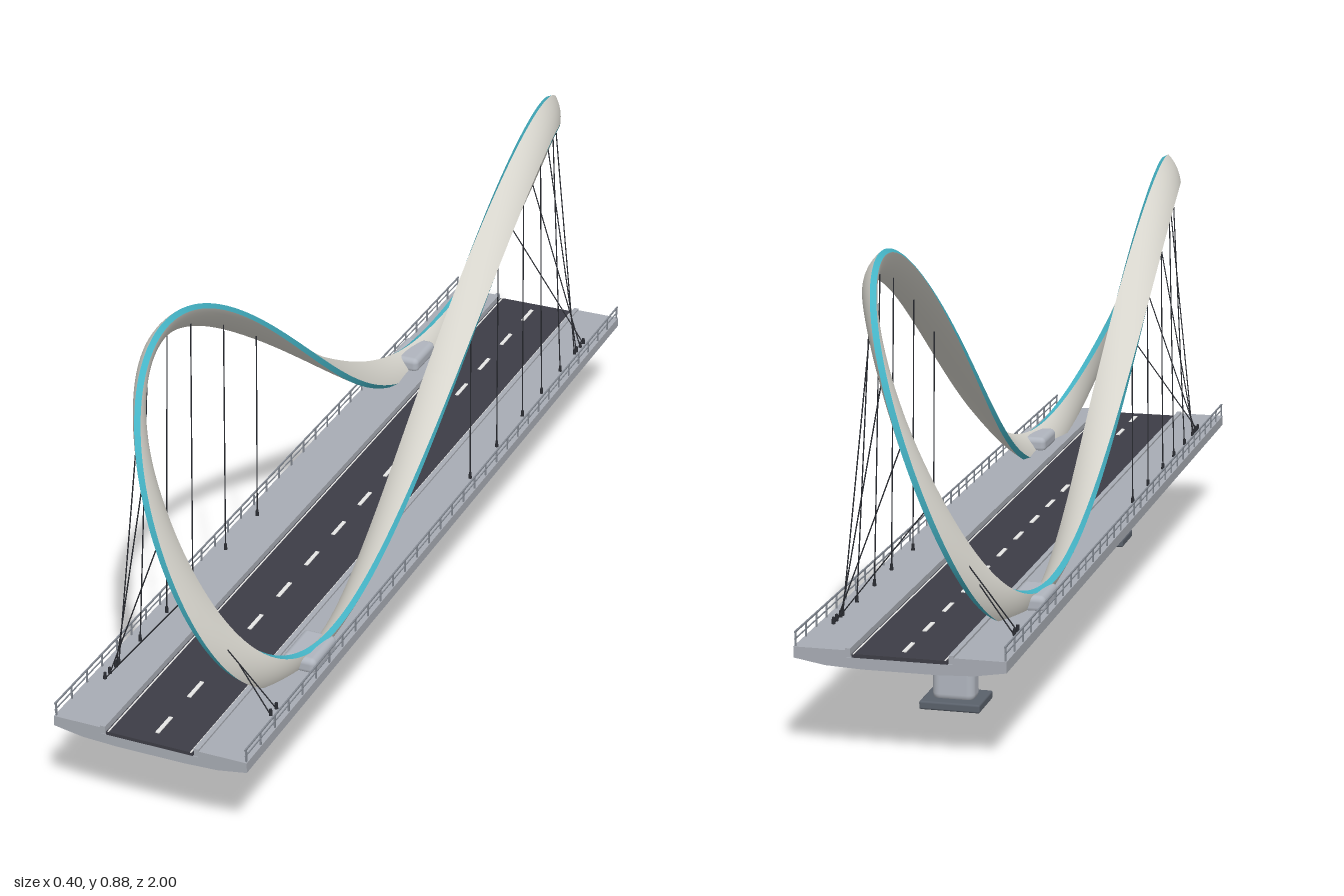
import * as THREE from 'three';
import { RoundedBoxGeometry } from 'three/addons/geometries/RoundedBoxGeometry.js';

const mat = (name, color, extra = {}) => {
  const m = new THREE.MeshStandardMaterial({ color, ...extra });
  m.name = name;
  return m;
};

// Centre line of the looping arch: stadium in plan, figure eight from the side
const archPoint = (t) => new THREE.Vector3(
  0.168 * Math.sin(Math.PI / 2 * Math.cos(t)),
  0.53 - 0.316 * Math.sin(2 * t),
  0.88 * Math.sin(t));

// Twisting frame: the wide axis points out of each lobe and turns inboard at mid-span
function archFrame(t) {
  const c = archPoint(t);
  const T = archPoint(t + 1e-3).sub(archPoint(t - 1e-3)).normalize();
  const dy = -0.632 * Math.cos(2 * t), dz = 0.88 * Math.cos(t), s = Math.sin(t);
  const l = Math.hypot(dy, dz);
  const N = new THREE.Vector3(-0.6 * Math.cos(t), -dz / l * s, dy / l * s);
  N.addScaledVector(T, -N.dot(T)).normalize();
  return { c, N, B: new THREE.Vector3().crossVectors(T, N) };
}

// Sweep an open piece of the cross-section around the closed arch
function sweepArch(section, steps = 320) {
  const pos = [], idx = [], n = section.length;
  for (let i = 0; i <= steps; i++) {
    const { c, N, B } = archFrame(i / steps * Math.PI * 2);
    for (const [u, v] of section) {
      const p = c.clone().addScaledVector(N, u).addScaledVector(B, v);
      pos.push(p.x, p.y, p.z);
      if (i < steps && v !== undefined) continue;
    }
  }
  for (let i = 0; i < steps; i++) for (let j = 0; j < n - 1; j++) {
    const a = i * n + j, b = a + n;
    idx.push(a, a + 1, b, a + 1, b + 1, b);
  }
  const g = new THREE.BufferGeometry();
  g.setAttribute('position', new THREE.Float32BufferAttribute(pos, 3));
  g.setIndex(idx);
  g.computeVertexNormals();
  return g;
}

export function createModel() {
  const M = {
    arch: mat('warm white steel', 0xd6d4cc),
    teal: mat('teal edge', 0x45b4c6),
    concrete: mat('concrete', 0xa8acb4),
    pier: mat('pier concrete', 0xb0b5be),
    road: mat('asphalt', 0x3d3d46),
    paint: mat('road paint', 0xf0f0ee),
    rail: mat('railing grey', 0x858b94),
    footing: mat('footing grey', 0x5a616b),
    cable: mat('cable dark', 0x2a2c32),
  };
  const root = new THREE.Group();
  root.name = 'bridge';
  const add = (name, geo, m, x = 0, y = 0, z = 0, parent = root) => {
    const mesh = new THREE.Mesh(geo, m);
    mesh.name = name;
    mesh.position.set(x, y, z);
    parent.add(mesh);
    return mesh;
  };
  const box = (name, m, w, h, d, x, y, z, parent) =>
    add(name, new THREE.BoxGeometry(w, h, d), m, x, y, z, parent);
  const group = (name) => {
    const g = new THREE.Group();
    g.name = name;
    root.add(g);
    return g;
  };
  const rod = (name, a, b, r, m, parent) => {
    const d = b.clone().sub(a);
    const mesh = add(name, new THREE.CylinderGeometry(r, r, d.length(), 6), m, 0, 0, 0, parent);
    mesh.position.copy(a).add(b).multiplyScalar(0.5);
    mesh.quaternion.setFromUnitVectors(new THREE.Vector3(0, 1, 0), d.normalize());
  };

  // Arch: two bulged faces and two teal edge strips
  const w = 0.033, e = 0.006, h = 0.012;
  const face = [];
  for (let k = 0; k <= 8; k++) {
    const u = Math.cos(k / 8 * Math.PI);
    face.push([w * u, e + (h - e) * (1 - u * u)]);
  }
  const edge = [[w, -e], [w, e]];
  const flip = (s) => s.map(([u, v]) => [-u, -v]);
  const arch = group('arch');
  add('archUpperFace', sweepArch(face), M.arch, 0, 0, 0, arch);
  add('archLowerFace', sweepArch(flip(face)), M.arch, 0, 0, 0, arch);
  add('archOuterEdge', sweepArch(edge), M.teal, 0, 0, 0, arch);
  add('archInnerEdge', sweepArch(flip(edge)), M.teal, 0, 0, 0, arch);

  // Deck: shallow hull with raised walkways either side of the road
  const half = [[0.1, 0.2], [0.1, 0.213], [0.2, 0.213], [0.2, 0.192], [0.14, 0.182], [0.07, 0.179]];
  const outline = [...half, ...half.map(([x, y]) => [-x, y]).reverse()];
  const deckGeo = new THREE.ExtrudeGeometry(
    new THREE.Shape(outline.map(([x, y]) => new THREE.Vector2(x, y))),
    { depth: 2, bevelEnabled: false });
  add('deck', deckGeo, M.concrete, 0, 0, -1);
  box('road', M.road, 0.18, 0.008, 2, 0, 0.203, 0);

  // Road markings
  const marks = group('roadMarkings');
  for (let i = -7; i <= 7; i++)
    box('laneDash', M.paint, 0.008, 0.002, 0.058, 0, 0.2078, i * 0.134, marks);
  for (const s of [-1, 1]) {
    box('edgeLine', M.paint, 0.003, 0.002, 2, s * 0.086, 0.2068, 0, marks);
    box('kerb', M.concrete, 0.01, 0.016, 2, s * 0.097, 0.209, 0);
  }

  // Railings along both edges
  for (const s of [-1, 1]) {
    const rail = group(s > 0 ? 'leftRailing' : 'rightRailing');
    box('topRail', M.rail, 0.003, 0.003, 2, s * 0.197, 0.24, 0, rail);
    box('midRail', M.rail, 0.002, 0.002, 2, s * 0.197, 0.227, 0, rail);
    for (let i = 0; i <= 32; i++)
      box('railPost', M.rail, 0.003, 0.028, 0.003, s * 0.197, 0.226, -0.995 + i * 1.99 / 32, rail);
  }

  // Piers: footing, column and flared cap; one arch seat above each
  for (const s of [-1, 1]) {
    const z = s * 0.618;
    const pier = group(s > 0 ? 'frontPier' : 'backPier');
    add('footing', new RoundedBoxGeometry(0.12, 0.017, 0.1, 2, 0.004), M.footing, 0, 0.0085, z, pier);
    add('column', new RoundedBoxGeometry(0.084, 0.16, 0.052, 4, 0.016), M.pier, 0, 0.09, z, pier);
    const cap = add('pierCap', new THREE.CylinderGeometry(0.15, 0.045, 0.034, 32), M.pier, 0, 0.16, z, pier);
    cap.scale.z = 0.22;
    const lip = add('capLip', new THREE.CylinderGeometry(0.155, 0.15, 0.008, 32), M.pier, 0, 0.181, z, pier);
    lip.scale.z = 0.22;
    add('archSeat', new RoundedBoxGeometry(0.07, 0.034, 0.108, 3, 0.012), M.pier, s * 0.154, 0.224, z);
  }

  // Hangers of one lobe: [arch angle in degrees, anchor side, anchor z]
  const hangers = [0.16, 0.31, 0.46, 0.575, 0.69, 0.78]
    .map((z) => [180 - Math.asin(z / 0.88) * 180 / Math.PI, -1, z * 1.01]);
  hangers.push([106, -1, 0.8], [95, -1, 0.825], [84, -1, 0.845], [76, 1, 0.81], [69, 1, 0.835]);
  for (const turn of [0, Math.PI]) {
    const g = group(turn ? 'backHangers' : 'frontHangers');
    g.rotation.y = turn;
    for (const [deg, side, z] of hangers) {
      const foot = new THREE.Vector3(side * 0.172, 0.213, z);
      rod('hanger', foot, archPoint(deg * Math.PI / 180), 0.0013, M.cable, g);
      add('hangerAnchor', new THREE.CylinderGeometry(0.003, 0.004, 0.014, 8), M.cable, foot.x, 0.219, z, g);
    }
  }
  return root;
}
